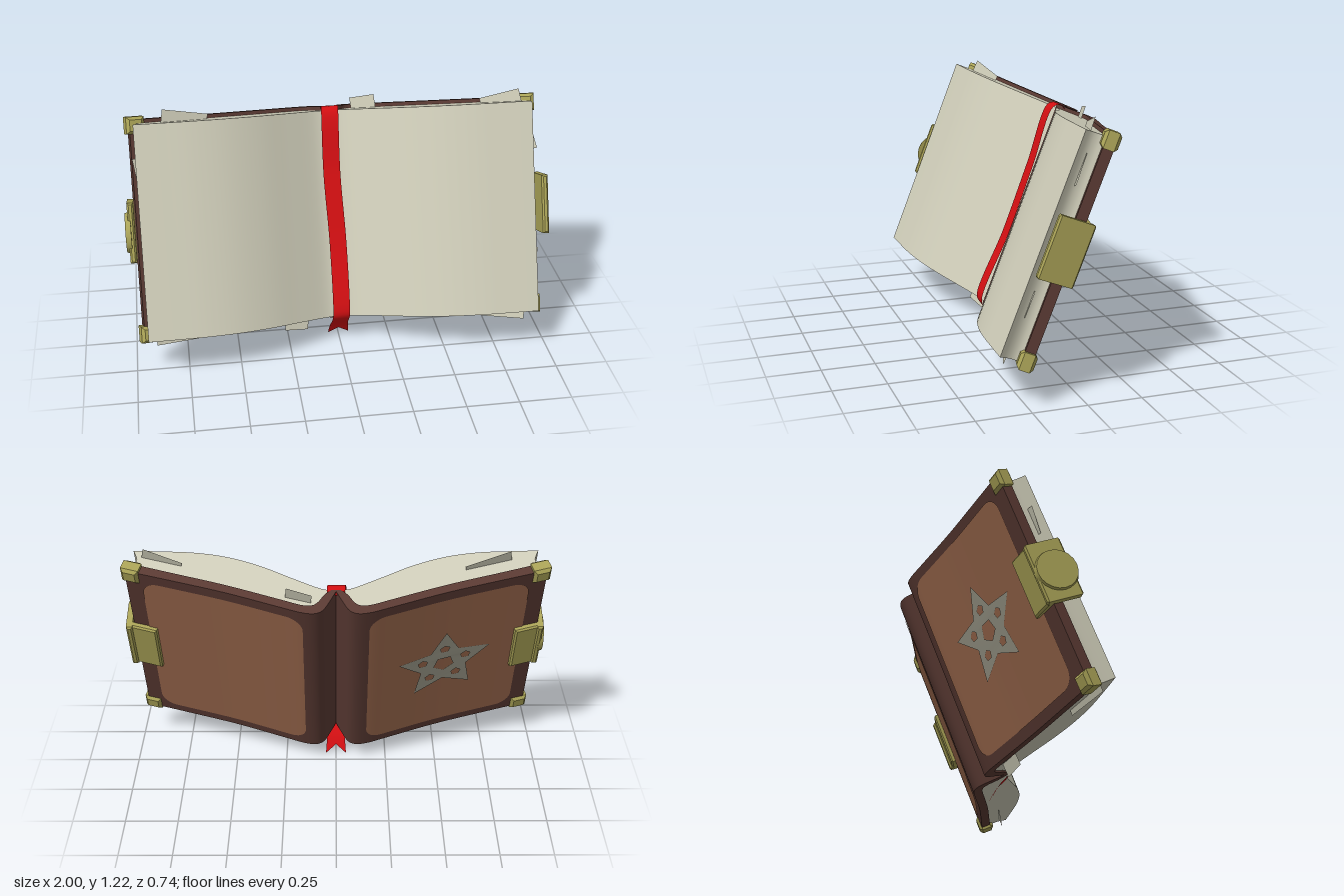
import * as THREE from 'three';
import { toCreasedNormals } from 'three/addons/utils/BufferGeometryUtils.js';

const TILT = 0.375, MID = 0.597, SLOPE = 0.28;

const mat = (name, color, side = THREE.FrontSide) => {
  const m = new THREE.MeshStandardMaterial({ color, side });
  m.name = name;
  return m;
};
const vecs = (pts) => pts.map(([x, y]) => new THREE.Vector2(x, y));
const smooth = (pts, n) => new THREE.SplineCurve(vecs(pts)).getPoints(n);

// Half cross-sections of the open book: x across, second value towards the reader
const coverBack = smooth([[0, 0.172], [0.03, 0.11], [0.06, 0.06], [0.1, 0.042], [0.16, 0.05],
  [0.25, 0.08], [0.5, 0.165], [0.75, 0.237], [0.96, 0.295]], 40);
const coverInside = smooth([[0.95, 0.342], [0.75, 0.283], [0.5, 0.21], [0.25, 0.125], [0.16, 0.094],
  [0.11, 0.09], [0.08, 0.11], [0.05, 0.155], [0, 0.195]], 36);
const pageFront = smooth([[0, 0.192], [0.07, 0.203], [0.2, 0.265], [0.35, 0.34], [0.5, 0.393],
  [0.65, 0.42], [0.8, 0.428], [0.932, 0.432]], 30);
const pageBack = smooth([[0.925, 0.332], [0.5, 0.208], [0.25, 0.123], [0.14, 0.09], [0.08, 0.112],
  [0.04, 0.165], [0, 0.188]], 24);
const pageEdge = vecs([[0.922, 0.41], [0.912, 0.38], [0.916, 0.35]]);

// Height of the cover's outer surface at a distance x from the spine
function coverAt(x) {
  const i = Math.max(1, coverBack.findIndex((p) => p.x >= x));
  const a = coverBack[i - 1], b = coverBack[i];
  return a.y + (b.y - a.y) * (x - a.x) / (b.x - a.x);
}

// Extrude a half cross-section along the height of the book
function slab(points, side, bottom, top) {
  const shape = new THREE.Shape(points.map((p) => new THREE.Vector2(p.x * side, p.y)));
  const g = new THREE.ExtrudeGeometry(shape, { depth: top - bottom, bevelEnabled: false });
  g.rotateX(Math.PI / 2).translate(0, top, 0);
  return toCreasedNormals(g, 0.6);
}

// Box with chamfered edges
function bevelBox(w, h, d, b) {
  const x = w / 2 - b, y = h / 2 - b;
  const shape = new THREE.Shape(vecs([[-x, -y], [x, -y], [x, y], [-x, y]]));
  return new THREE.ExtrudeGeometry(shape, {
    depth: d - 2 * b, bevelEnabled: true, bevelThickness: b, bevelSize: b, bevelSegments: 1,
  }).center();
}

// Rounded leather panel that follows the curve of the cover
function panelGeometry(side) {
  const g = new THREE.PlaneGeometry(1, 1, 48, 1), p = g.attributes.position;
  const x0 = 0.15, x1 = 0.885, half = 0.468, r = 0.075;
  for (let i = 0; i < p.count; i++) {
    const t = p.getX(i) + 0.5;
    const x = (x0 + x1) / 2 - (x1 - x0) / 2 * Math.cos(Math.PI * t);
    const d = Math.max(0, r - Math.min(x - x0, x1 - x));
    const h = half - r + Math.sqrt(Math.max(0, r * r - d * d));
    p.setXYZ(i, x * side, MID + Math.sign(p.getY(i)) * h, coverAt(x) - 0.004);
  }
  g.computeVertexNormals();
  return g;
}

// Five-pointed emblem with openings, laid on the cover
function starGeometry(side) {
  const ring = (n, radius, cx = 0, cy = 0, turn = Math.PI / 2) => Array.from({ length: n }, (_, i) => {
    const a = turn + i * 2 * Math.PI / n, r = radius(i);
    return new THREE.Vector2(cx + r * Math.cos(a), cy + r * Math.sin(a));
  });
  const shape = new THREE.Shape(ring(10, (i) => (i % 2 ? 0.115 : 0.23)));
  shape.holes.push(new THREE.Path(ring(5, () => 0.05, 0, 0, -Math.PI / 2)));
  for (let i = 0; i < 5; i++) {
    const a = Math.PI / 2 + i * 2 * Math.PI / 5;
    shape.holes.push(new THREE.Path(ring(5, () => 0.024, 0.108 * Math.cos(a), 0.108 * Math.sin(a), a)));
  }
  const g = new THREE.ShapeGeometry(shape), p = g.attributes.position;
  for (let i = 0; i < p.count; i++) {
    const x = 0.515 + p.getX(i);
    p.setXYZ(i, x * side, MID + p.getY(i), coverAt(x) - 0.009);
  }
  g.computeVertexNormals();
  return g;
}

// Ribbon swept down the gutter, ending in a swallowtail
function ribbonGeometry() {
  const path = new THREE.CatmullRomCurve3([
    [0, 1.1, 0.16], [0, 1.12, 0.185], [-0.004, 1.1, 0.222], [-0.008, 0.8, 0.214], [0.004, 0.45, 0.214],
    [0.002, 0.1, 0.222], [0, 0.07, 0.19], [0, 0.034, 0.12], [0, -0.02, 0.053],
  ].map((a) => new THREE.Vector3(...a)));
  const g = new THREE.PlaneGeometry(1, 1, 2, 80), p = g.attributes.position;
  for (let i = 0; i < p.count; i++) {
    const u = p.getX(i), t = 0.5 - p.getY(i);
    const c = path.getPointAt(u === 0 ? Math.min(t, 0.965) : t);
    p.setXYZ(i, c.x + u * (0.082 + 0.02 * Math.max(0, t - 0.9) * 10), c.y, c.z);
  }
  g.computeVertexNormals();
  return g;
}

export function createModel() {
  const paper = mat('paper', 0xcfcdb9);
  const loosePaper = mat('loose paper', 0xcbc9b5, THREE.DoubleSide);
  const leather = mat('dark leather', 0x5a3a33);
  const panelLeather = mat('brown leather', 0x9c694d, THREE.DoubleSide);
  const emblem = mat('grey emblem', 0x9c9a8a, THREE.DoubleSide);
  const brass = mat('brass', 0xaaa357);
  const red = mat('red ribbon', 0xd30f12, THREE.DoubleSide);

  const root = new THREE.Group();
  root.name = 'openBook';
  const book = new THREE.Group();
  book.name = 'book';
  book.rotation.x = -TILT;
  root.add(book);

  const add = (name, geometry, material, x = 0, y = 0, z = 0, turnY = 0, turnZ = 0) => {
    const m = new THREE.Mesh(geometry, material);
    m.name = name;
    m.position.set(x, y, z);
    m.rotation.set(0, turnY, turnZ);
    book.add(m);
    return m;
  };

  for (const side of [1, -1]) {
    const label = side > 0 ? 'left' : 'right';
    add(label + 'Cover', slab([...coverBack, ...coverInside], side, 0.078, 1.116), leather);
    add(label + 'Pages', slab([...pageFront, ...pageEdge, ...pageBack.slice(0, -1)], side, 0.088, 1.098), paper);
    add(label + 'Panel', panelGeometry(side), panelLeather);
    // Corner fittings
    for (const y of [0.105, 1.09]) {
      add(label + 'Corner', bevelBox(0.085, 0.08, 0.075, 0.014), brass, 0.93 * side, y, 0.312, -SLOPE * side);
    }
    // Clasp: a flange on the cover and a plate over its edge
    add(label + 'ClaspFlange', bevelBox(0.14, 0.28, 0.035, 0.008), brass, 0.915 * side, MID + 0.006, 0.273, -SLOPE * side);
    add(label + 'ClaspPlate', bevelBox(0.03, 0.28, 0.172, 0.008), brass, side > 0 ? 0.983 : -0.972, MID + 0.006, 0.346);
  }
  add('emblem', starGeometry(-1), emblem);

  // Round catch on one clasp
  const catchGeometry = new THREE.CylinderGeometry(0.092, 0.1, 0.026, 20).rotateZ(Math.PI / 2);
  add('claspCatch', catchGeometry, brass, -0.987, MID, 0.357);

  add('ribbon', ribbonGeometry(), red);

  // Loose slips between the pages: x, y, z, width, height, turn
  const slips = [
    [-0.7, 1.09, 0.345, 0.22, 0.1, -0.16], [0.8, 1.09, 0.365, 0.19, 0.1, 0.2],
    [0.17, 1.11, 0.135, 0.12, 0.09, 0.1], [-0.78, 0.1, 0.34, 0.24, 0.08, 0.03],
    [-0.21, 0.08, 0.14, 0.12, 0.11, -0.08], [0.76, 0.1, 0.345, 0.24, 0.09, -0.1],
    [0.9, 0.93, 0.38, 0.09, 0.14, 0.25], [0.9, 0.34, 0.38, 0.08, 0.12, -0.2],
    [-0.9, 0.88, 0.38, 0.08, 0.13, 0.15],
  ];
  for (const [x, y, z, w, h, turn] of slips) {
    add('looseSlip', new THREE.PlaneGeometry(w, h), loosePaper, x, y, z, -SLOPE * Math.sign(x), turn);
  }
  return root;
}
